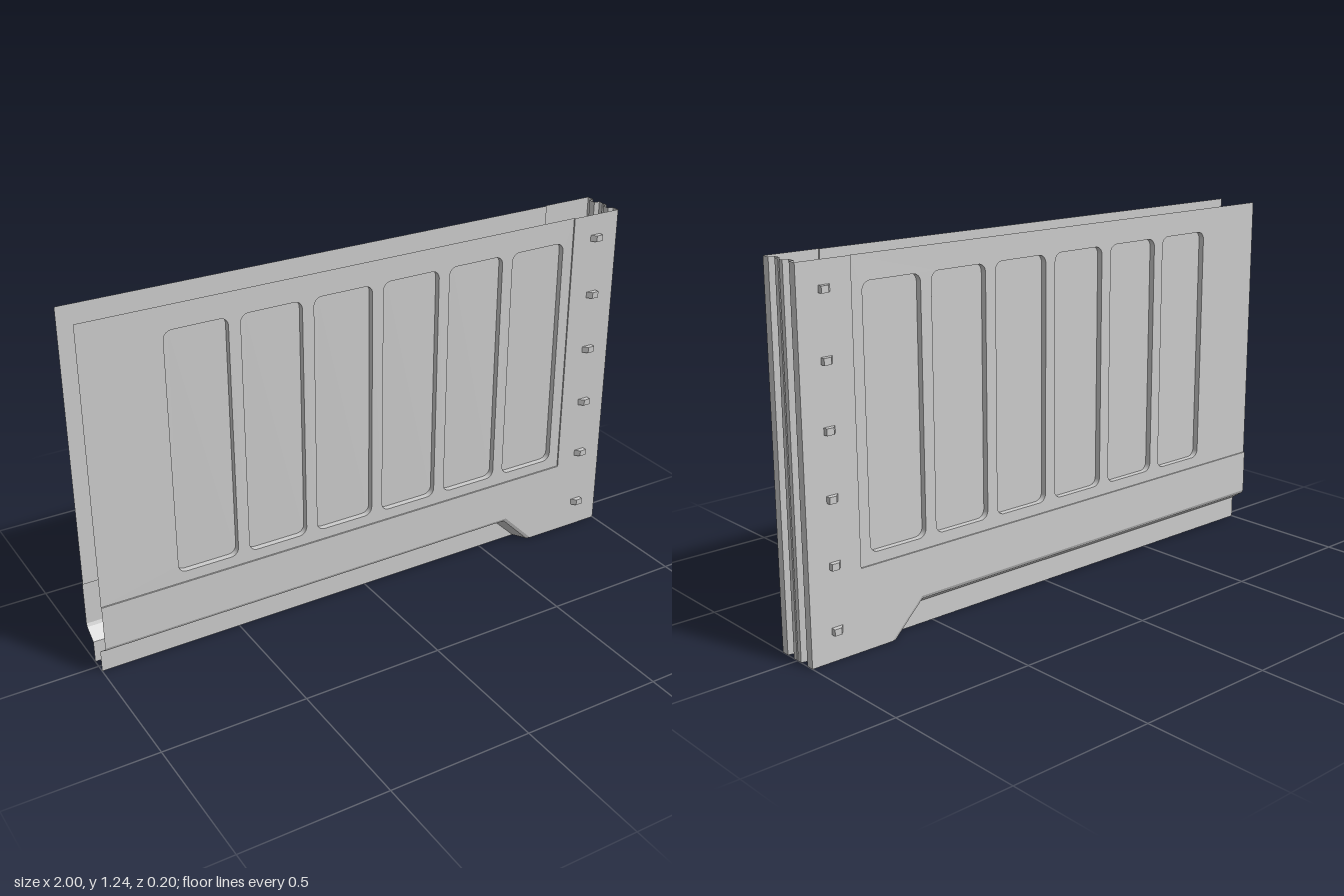
import * as THREE from 'three';

const H = 1.24, Z_FRAME = 0.082, Z_PANEL = 0.077, Z_POCKET = 0.056, Z_SKIRT = 0.03;
const material = new THREE.MeshStandardMaterial({ color: 0xcccccc, side: THREE.DoubleSide, flatShading: true });

function add(group, name, geometry) {
  const mesh = new THREE.Mesh(geometry, material);
  mesh.name = name;
  group.add(mesh);
  return mesh;
}

// Flat sheet facing +z at depth z
function sheet(shape, z) {
  return new THREE.ShapeGeometry(shape, 5).translate(0, 0, z);
}

function polygon(points) {
  return new THREE.Shape(points.map(p => new THREE.Vector2(...p)));
}

// Ruled strip joining two [x, y, z] polylines of equal length
function strip(a, b) {
  const pos = [];
  for (let i = 0; i < a.length - 1; i++) {
    pos.push(...a[i], ...b[i], ...b[i + 1], ...a[i], ...b[i + 1], ...a[i + 1]);
  }
  const g = new THREE.BufferGeometry();
  g.setAttribute('position', new THREE.Float32BufferAttribute(pos, 3));
  g.computeVertexNormals();
  return g;
}

const atZ = (points, z) => points.map(([x, y]) => [x, y, z]);

function roundedRect(x0, y0, x1, y1, r) {
  const s = new THREE.Shape();
  s.absarc(x1 - r, y0 + r, r, -Math.PI / 2, 0);
  s.absarc(x1 - r, y1 - r, r, 0, Math.PI / 2);
  s.absarc(x0 + r, y1 - r, r, Math.PI / 2, Math.PI);
  s.absarc(x0 + r, y0 + r, r, Math.PI, Math.PI * 1.5);
  s.closePath();
  return s;
}

function createSide() {
  const side = new THREE.Group();

  // Raised L-shaped frame with the lower cut-out
  add(side, 'frame', sheet(polygon([
    [-1, 0.12], [0.58, 0.12], [0.7, 0], [1, 0], [1, H], [0.81, H], [0.81, 0.275], [-1, 0.275],
  ]), Z_FRAME));

  // Small step between frame and panel
  const step = [[-1, 0.275], [0.81, 0.275], [0.81, H]];
  add(side, 'frameStep', strip(atZ(step, Z_FRAME), atZ(step, Z_PANEL)));

  // Panel with six rounded pockets
  const panel = polygon([[-1, 0.275], [0.81, 0.275], [0.81, H], [-1, H]]);
  for (let i = 0; i < 6; i++) {
    const x = -0.728 + i * 0.2565;
    const outline = roundedRect(x, 0.313, x + 0.215, 1.158, 0.028);
    panel.holes.push(outline);
    add(side, 'pocketFloor', sheet(outline, Z_POCKET));
    const rim = outline.getPoints(5).map(p => [p.x, p.y]);
    rim.push(rim[0]);
    add(side, 'pocketWall', strip(atZ(rim, Z_PANEL), atZ(rim, Z_POCKET)));
  }
  add(side, 'panel', sheet(panel, Z_PANEL));

  // Cut-out lip, sloping underside and recessed skirt
  const edge = atZ([[-1, 0.12], [0.58, 0.12], [0.7, 0]], Z_FRAME);
  const lip = atZ([[-1, 0.109], [0.575, 0.109], [0.684, 0]], Z_PANEL);
  const inner = [[-1, 0.078], [0.575, 0.078], [0.655, 0]];
  add(side, 'cutoutLip', strip(edge, lip));
  add(side, 'cutoutSlope', strip(lip, atZ(inner, Z_SKIRT)));
  add(side, 'skirt', sheet(polygon([[-1, 0], [0.655, 0], [0.575, 0.078], [-1, 0.078]]), Z_SKIRT));

  // Column of wedge-shaped hooks
  for (let i = 0; i < 6; i++) {
    const hook = polygon([[0.885, -Z_FRAME], [0.925, -Z_FRAME], [0.925, -0.099], [0.9, -0.099]]);
    const g = new THREE.ExtrudeGeometry(hook, { depth: 0.022, bevelEnabled: false });
    add(side, 'hook', g.rotateX(-Math.PI / 2).translate(0, 0.09 + i * 0.2108, 0));
  }
  return side;
}

export function createModel() {
  const model = new THREE.Group();

  // Two mirrored walls
  const front = createSide();
  front.name = 'frontWall';
  const back = createSide();
  back.name = 'backWall';
  back.scale.z = -1;
  model.add(front, back);

  // Corrugated end closing the +x side
  const half = [[1, 0.082], [1, 0.054], [0.981, 0.05], [0.981, 0.024], [1, 0.02], [1, 0.003], [0.997, 0]];
  const profile = [...half, ...half.slice(0, -1).reverse().map(([x, z]) => [x, -z])];
  const ring = y => profile.map(([x, z]) => [x, y, z]);
  add(model, 'corrugatedEnd', strip(ring(H), ring(0)));

  return model;
}
